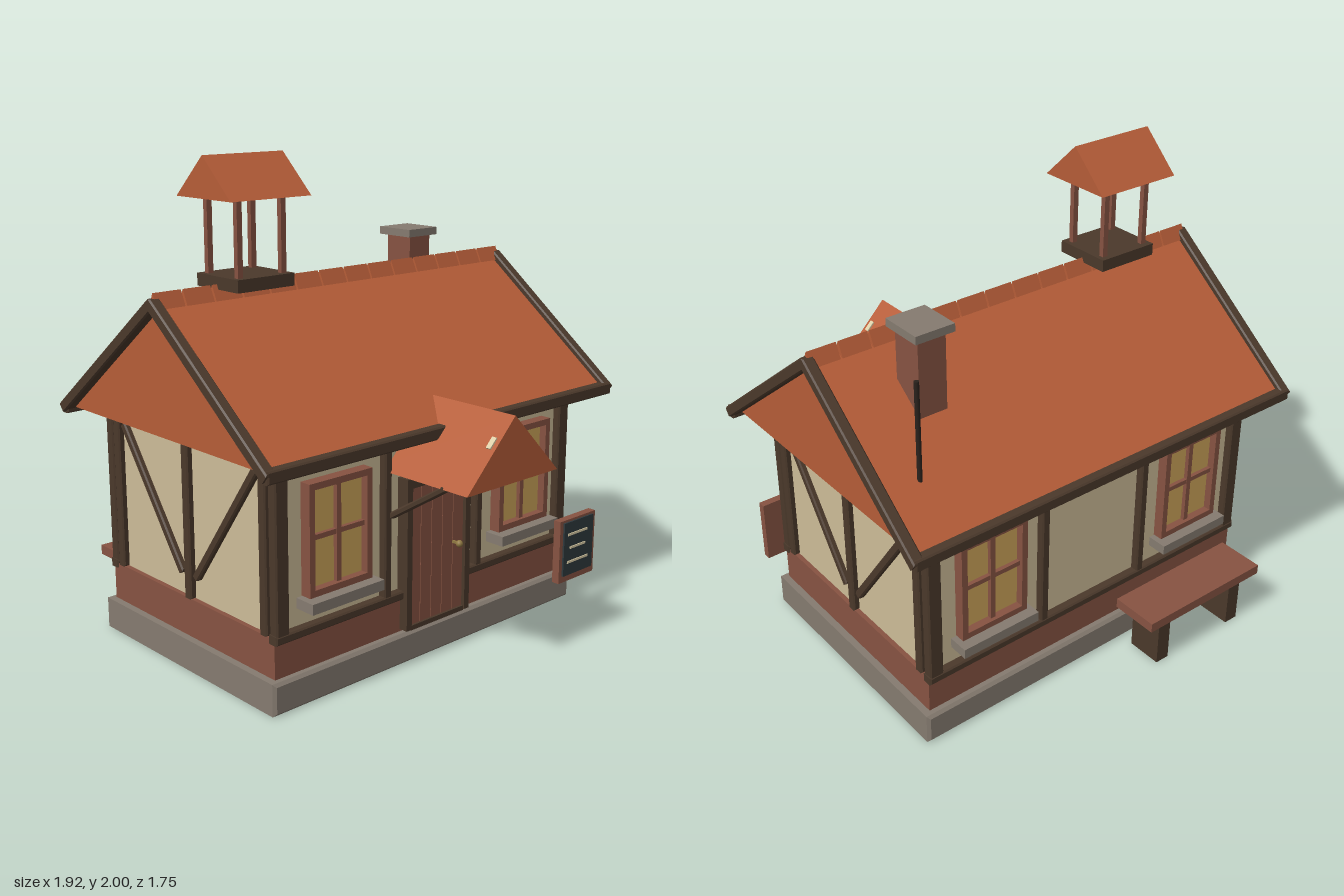
import * as THREE from 'three';

const mat = (name, color) => {
  const m = new THREE.MeshStandardMaterial({ color });
  m.name = name;
  return m;
};

export function createModel() {
  const clay = mat('clay tile', 0xb65d38);
  const brick = mat('red brown', 0x875342);
  const stone = mat('stone', 0x857b70);
  const timber = mat('dark timber', 0x4b392b);
  const iron = mat('iron', 0x2a221d);
  const plaster = mat('plaster', 0xcdbc98);
  const glass = mat('amber glass', 0xcda55a);
  const slate = mat('slate', 0x2f3a3d);
  const brass = mat('brass', 0x8f7842);
  const cream = mat('cream', 0xdccfa8);

  const root = new THREE.Group();
  root.name = 'cottage';
  const MID = -0.07; // depth of the ridge line

  const group = (name, parent = root) => {
    const g = new THREE.Group();
    g.name = name;
    parent.add(g);
    return g;
  };
  const add = (name, geo, material, parent = root) => {
    const m = new THREE.Mesh(geo, material);
    m.name = name;
    parent.add(m);
    return m;
  };
  // Box given by its limits on each axis
  const box = (name, material, x0, x1, y0, y1, z0, z1, parent = root) => {
    const m = add(name, new THREE.BoxGeometry(x1 - x0, y1 - y0, z1 - z0), material, parent);
    m.position.set((x0 + x1) / 2, (y0 + y1) / 2, (z0 + z1) / 2);
    return m;
  };
  // Box with chamfered end edges
  const chamferBox = (w, h, d, b) => {
    const x = w / 2 - b, y = h / 2 - b;
    const s = new THREE.Shape([[-x, -y], [x, -y], [x, y], [-x, y]].map(p => new THREE.Vector2(...p)));
    const g = new THREE.ExtrudeGeometry(s, {
      depth: d - 2 * b, bevelEnabled: true, bevelSize: b, bevelThickness: b, bevelSegments: 1
    });
    return g.translate(0, 0, -(d - 2 * b) / 2);
  };
  // Chamfered beam between two points
  const beam = (name, a, b, w, d, parent, material = timber) => {
    const p = new THREE.Vector3(...a), q = new THREE.Vector3(...b);
    const m = add(name, chamferBox(w, p.distanceTo(q), d, 0.006), material, parent);
    m.position.copy(p).add(q).multiplyScalar(0.5);
    m.quaternion.setFromUnitVectors(new THREE.Vector3(0, 1, 0), q.sub(p).normalize());
    return m;
  };
  // Triangular prism centred on its own length; alongX turns the ridge onto x
  const prism = (half, height, length, alongX) => {
    const s = new THREE.Shape();
    s.moveTo(-half, 0).lineTo(half, 0).lineTo(0, height).closePath();
    const g = new THREE.ExtrudeGeometry(s, { depth: length, bevelEnabled: false });
    g.translate(0, 0, -length / 2);
    return alongX ? g.rotateY(-Math.PI / 2) : g;
  };

  // Foundation and walls
  add('foundation', chamferBox(1.7, 0.13, 1.125, 0.012), stone).position.set(0, 0.065, MID);
  box('plinth', brick, -0.82, 0.82, 0.13, 0.29, -0.6, 0.46);
  box('walls', plaster, -0.8, 0.8, 0.29, 0.97, -0.585, 0.445);

  // Long-wall timbers, front and back
  const frame = group('timberFrame');
  for (const s of [1, -1]) {
    const z = MID + s * 0.525;
    for (const x of [-0.79, 0.79]) beam('cornerPost', [x, 0.28, z], [x, 0.95, z], 0.062, 0.045, frame);
    for (const x of [-0.26, 0.26]) beam('wallPost', [x, 0.28, z], [x, 0.95, z], 0.038, 0.045, frame);
    for (const y of [0.288, 0.945]) beam('wallRail', [-0.825, y, z], [0.825, y, z], 0.036, 0.05, frame);
  }
  // Gable-wall timbers with diagonal braces
  for (const x of [-0.805, 0.805]) {
    for (const z of [0.4, MID, -0.54]) beam('sidePost', [x, 0.29, z], [x, 0.96, z], 0.04, 0.043, frame);
    for (const s of [1, -1])
      beam('sideBrace', [x, 0.91, MID + s * 0.425], [x, 0.385, MID + s * 0.045], 0.035, 0.035, frame);
  }

  // Windows with cross bars and stone sills
  const makeWindow = (x, z, turn) => {
    const w = group('window');
    box('windowPane', glass, -0.15, 0.15, 0.43, 0.85, -0.01, 0.012, w);
    for (const s of [-1, 1]) {
      box('frameSide', brick, s * 0.143 - 0.013, s * 0.143 + 0.013, 0.42, 0.86, -0.01, 0.045, w);
      const y = s < 0 ? 0.433 : 0.847;
      box('frameRail', brick, -0.13, 0.13, y - 0.013, y + 0.013, -0.01, 0.045, w);
    }
    box('mullion', brick, -0.011, 0.011, 0.446, 0.834, -0.01, 0.03, w);
    box('transom', brick, -0.13, 0.13, 0.635, 0.655, -0.01, 0.029, w);
    box('windowSill', stone, -0.18, 0.18, 0.375, 0.417, -0.01, 0.087, w);
    w.position.set(x, 0, z);
    w.rotation.y = turn;
  };
  for (const x of [-0.52, 0.52]) {
    makeWindow(x, 0.45, 0);
    makeWindow(x, -0.585, Math.PI);
  }

  // Plank door
  const door = group('door');
  for (const s of [-1, 1]) box('doorJamb', timber, s * 0.166 - 0.014, s * 0.166 + 0.014, 0.14, 0.77, 0.43, 0.5, door);
  box('doorLintel', timber, -0.152, 0.152, 0.73, 0.77, 0.43, 0.5, door);
  box('doorStep', timber, -0.152, 0.152, 0.135, 0.155, 0.43, 0.495, door);
  box('doorBack', timber, -0.152, 0.152, 0.155, 0.73, 0.43, 0.475, door);
  for (let i = 0; i < 5; i++) {
    const x = -0.122 + i * 0.061;
    box('doorPlank', brick, x - 0.029, x + 0.029, 0.155, 0.73, 0.46, 0.485, door);
  }
  add('doorKnob', new THREE.SphereGeometry(0.015, 12, 8), brass, door).position.set(0.095, 0.447, 0.52);
  box('knobStem', brass, 0.09, 0.1, 0.442, 0.452, 0.48, 0.515, door);

  // Main roof with barge boards and eaves
  const roof = group('roof');
  add('roofBody', prism(0.665, 0.51, 1.82, true), clay, roof).position.set(0, 0.96, MID);
  for (const s of [1, -1]) {
    const z = MID + s * 0.648;
    beam('eaveBoard', [-0.95, 0.965, z], [0.95, 0.965, z], 0.05, 0.045, roof);
    for (const x of [-0.935, 0.935])
      beam('bargeBoard', [x, 0.96, MID + s * 0.66], [x, 1.48, MID - s * 0.01], 0.048, 0.046, roof);
  }
  // Ridge tiles
  for (let i = 0; i < 14; i++)
    add('ridgeTile', prism(0.028, 0.06, 0.126, true), clay, roof)
      .position.set((i - 6.5) * 0.1345, 1.455, MID);

  // Porch canopy with struts and small lights
  const porch = group('porch');
  add('porchRoof', prism(0.255, 0.26, 0.475, false), clay, porch).position.set(0, 0.81, 0.6375);
  box('porchCeiling', plaster, -0.2, 0.2, 0.8, 0.809, 0.46, 0.84, porch);
  for (const s of [-1, 1]) {
    beam('porchStrut', [s * 0.24, 0.81, 0.755], [s * 0.24, 0.635, 0.475], 0.032, 0.026, porch);
    const light = add('porchRoofLight', new THREE.BoxGeometry(0.05, 0.009, 0.022), cream, porch);
    light.position.set(s * 0.095, 0.976, 0.845);
    light.rotation.z = -s * Math.atan2(0.26, 0.255);
  }

  // Open turret on the ridge
  const turret = group('turret');
  box('turretBase', timber, -0.645, -0.37, 1.495, 1.545, -0.195, 0.06, turret);
  for (const x of [-0.613, -0.402])
    for (const z of [0.025, -0.16])
      box('turretPost', brick, x - 0.012, x + 0.012, 1.54, 1.845, z - 0.011, z + 0.011, turret);
  add('turretRoof', prism(0.168, 0.16, 0.385, true), clay, turret).position.set(-0.508, 1.84, -0.068);

  // Chimney and rod
  box('chimney', brick, 0.522, 0.645, 1.15, 1.585, -0.347, -0.207);
  box('chimneyCap', stone, 0.498, 0.67, 1.58, 1.613, -0.373, -0.187);
  add('roofRod', new THREE.CylinderGeometry(0.01, 0.01, 0.45, 10), iron).position.set(0.766, 1.308, -0.511);

  // Menu board
  const board = group('menuBoard');
  box('boardFrame', brick, 0.61, 0.845, 0.16, 0.44, 0.59, 0.625, board);
  box('boardPanel', slate, 0.63, 0.825, 0.19, 0.43, 0.624, 0.633, board);
  for (const [x0, x1, y] of [[0.652, 0.78, 0.375], [0.668, 0.77, 0.314], [0.652, 0.79, 0.25]])
    box('chalkLine', cream, x0, x1, y - 0.005, y + 0.005, 0.632, 0.637, board);

  // Bench behind the house
  const bench = group('bench');
  box('benchSeat', brick, -0.717, -0.09, 0.22, 0.262, -0.873, -0.665, bench);
  for (const x of [-0.61, -0.197])
    box('benchLeg', timber, x - 0.032, x + 0.032, 0, 0.222, -0.843, -0.69, bench);

  return root;
}
